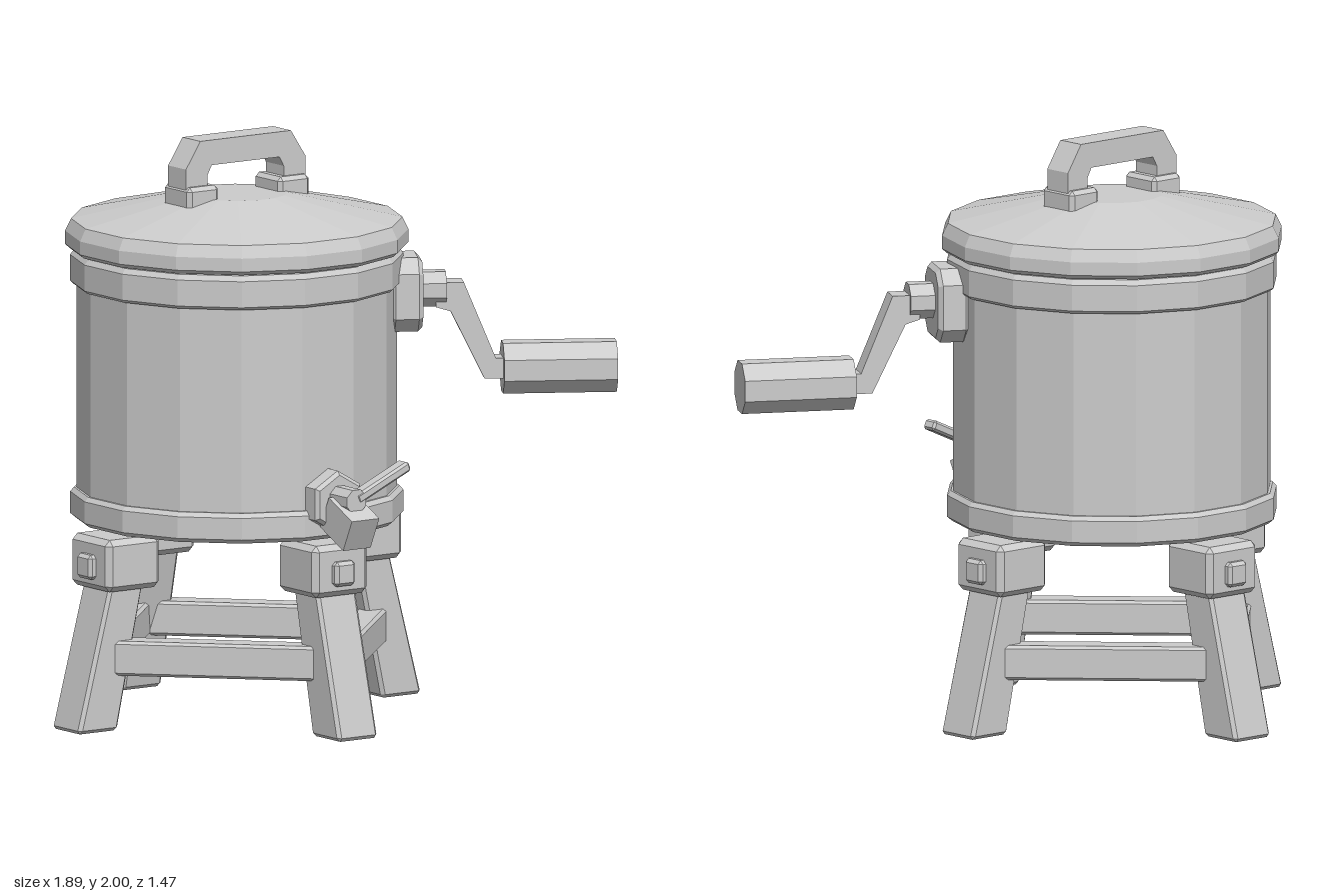
import * as THREE from 'three';
import { ConvexGeometry } from 'three/addons/geometries/ConvexGeometry.js';

const metal = new THREE.MeshStandardMaterial({ color: 0xcccccc });
metal.name = 'plain grey';

function add(parent, name, geometry, x = 0, y = 0, z = 0) {
  const mesh = new THREE.Mesh(geometry, metal);
  mesh.name = name;
  mesh.position.set(x, y, z);
  parent.add(mesh);
  return mesh;
}

// Gives every face its own normal for a faceted look
function faceted(geometry) {
  const g = geometry.index ? geometry.toNonIndexed() : geometry;
  g.computeVertexNormals();
  return g;
}

// Box with all edges and corners cut by c
function chamferBox(w, h, d, c) {
  const points = [];
  for (const sx of [-1, 1]) for (const sy of [-1, 1]) for (const sz of [-1, 1]) {
    for (let axis = 0; axis < 3; axis++) {
      const cut = [0, 1, 2].map((i) => (i === axis ? 0 : c));
      points.push(new THREE.Vector3(sx * (w / 2 - cut[0]), sy * (h / 2 - cut[1]), sz * (d / 2 - cut[2])));
    }
  }
  return new ConvexGeometry(points);
}

// Outline extruded along z and centred on it, with bevelled rims
function plate(points, depth, bevel = 0) {
  const shape = new THREE.Shape(points.map(([x, y]) => new THREE.Vector2(x, y)));
  const g = new THREE.ExtrudeGeometry(shape, {
    depth: depth - 2 * bevel, bevelEnabled: bevel > 0, bevelSize: bevel,
    bevelThickness: bevel, bevelOffset: -bevel, bevelSegments: 1,
  });
  return g.translate(0, 0, -depth / 2 + bevel);
}

// Sixteen-sided turned body; radii are measured to the flats
function turned(profile) {
  const k = 1 / Math.cos(Math.PI / 16);
  const points = profile.map(([r, y]) => new THREE.Vector2(r * k, y));
  return faceted(new THREE.LatheGeometry(points, 16, Math.PI / 16));
}

// Octagonal bar along y with flats on the axes
function octagonBar(apothem, length) {
  const r = apothem / Math.cos(Math.PI / 8);
  return faceted(new THREE.CylinderGeometry(r, r, length, 8, 1, false, Math.PI / 8));
}

// Tapered leg leaning towards the drum, standing on y = 0
function legGeometry() {
  const height = 0.56;
  const g = chamferBox(0.165, height, 0.165, 0.012).translate(0, height / 2, 0);
  const p = g.attributes.position;
  for (let i = 0; i < p.count; i++) {
    const t = p.getY(i) / height;
    p.setX(i, 0.6375 - 0.135 * t + p.getX(i) * (1 - 0.17 * t));
  }
  return faceted(g);
}

function createStand() {
  const stand = new THREE.Group();
  stand.name = 'stand';
  for (let i = 0; i < 4; i++) {
    const side = new THREE.Group();
    side.name = 'legAssembly';
    side.rotation.y = i * Math.PI / 2;
    add(side, 'leg', legGeometry());
    add(side, 'legBlock', chamferBox(0.225, 0.18, 0.23, 0.02), 0.508, 0.575, 0);
    add(side, 'bolt', chamferBox(0.06, 0.085, 0.085, 0.012), 0.616, 0.565, 0);
    // Brace running diagonally to the next leg
    const brace = add(side, 'brace', chamferBox(0.82, 0.12, 0.1, 0.01), 0.29, 0.25, 0.29);
    brace.rotation.y = Math.PI / 4;
    stand.add(side);
  }
  return stand;
}

function createLid() {
  const lid = new THREE.Group();
  lid.name = 'lid';
  add(lid, 'lidCover', turned([
    [0, 1.6], [0.56, 1.608], [0.575, 1.622], [0.575, 1.668], [0.555, 1.71], [0.17, 1.797], [0, 1.797],
  ]));
  for (const s of [-1, 1]) add(lid, 'handleFoot', chamferBox(0.13, 0.085, 0.155, 0.014), s * 0.19, 1.803, 0);
  add(lid, 'lidHandle', plate([
    [-0.25, 1.8], [-0.16, 1.8], [-0.16, 1.88], [-0.142, 1.913], [0.142, 1.913], [0.16, 1.88],
    [0.16, 1.8], [0.25, 1.8], [0.25, 1.908], [0.19, 2], [-0.19, 2], [-0.25, 1.908],
  ], 0.105));
  return lid;
}

// Crank built along +x and swung towards the front
function createCrank() {
  const crank = new THREE.Group();
  crank.name = 'crank';
  crank.rotation.y = -Math.PI / 6;
  const w = 0.12, h = 0.128, c = 0.05;
  const mount = add(crank, 'crankMount', plate([
    [-w, -h + c], [-w + c, -h], [w - c, -h], [w, -h + c],
    [w, h - c], [w - c, h], [-w + c, h], [-w, h - c],
  ], 0.11, 0.015), 0.575, 1.445, 0);
  mount.rotation.y = Math.PI / 2;
  add(crank, 'crankHub', octagonBar(0.06, 0.11), 0.66, 1.455, 0).rotation.z = -Math.PI / 2;
  add(crank, 'crankArm', plate([
    [0.68, 1.395], [0.73, 1.38], [0.846, 1.145], [0.93, 1.145], [0.93, 1.215],
    [0.885, 1.215], [0.775, 1.48], [0.68, 1.48],
  ], 0.086));
  add(crank, 'crankGrip', octagonBar(0.087, 0.39), 1.105, 1.178, 0).rotation.z = -Math.PI / 2;
  return crank;
}

function createTap() {
  const tap = new THREE.Group();
  tap.name = 'tap';
  const hexagon = Array.from({ length: 6 }, (_, i) => {
    const a = Math.PI / 6 + i * Math.PI / 3;
    return [0.109 * Math.cos(a), 0.109 * Math.sin(a)];
  });
  add(tap, 'tapFlange', plate(hexagon, 0.08, 0.012), 0, 0.807, 0.565);
  add(tap, 'tapStem', octagonBar(0.04, 0.12), 0, 0.825, 0.645).rotation.x = Math.PI / 2;
  add(tap, 'tapSpout', new THREE.BoxGeometry(0.115, 0.12, 0.15), 0, 0.746, 0.664).rotation.x = 0.445;
  // Lever slanting up to the model's left
  const lever = add(tap, 'tapLever', chamferBox(0.24, 0.036, 0.055, 0.008), 0.115, 0.878, 0.68);
  lever.rotation.z = 0.42;
  return tap;
}

export function createModel() {
  const model = new THREE.Group();
  model.name = 'crankDrum';
  const body = new THREE.Group();
  body.name = 'body';
  body.position.set(-0.228, 0, -0.015);
  model.add(body);
  // Drum with a raised band at the foot and under the lid
  add(body, 'drum', turned([
    [0, 0.675], [0.54, 0.675], [0.558, 0.69], [0.558, 0.765], [0.545, 0.78], [0.537, 0.78],
    [0.537, 1.485], [0.548, 1.485], [0.558, 1.495], [0.558, 1.585], [0.545, 1.603], [0, 1.603],
  ]));
  body.add(createStand(), createLid(), createCrank(), createTap());
  return model;
}
